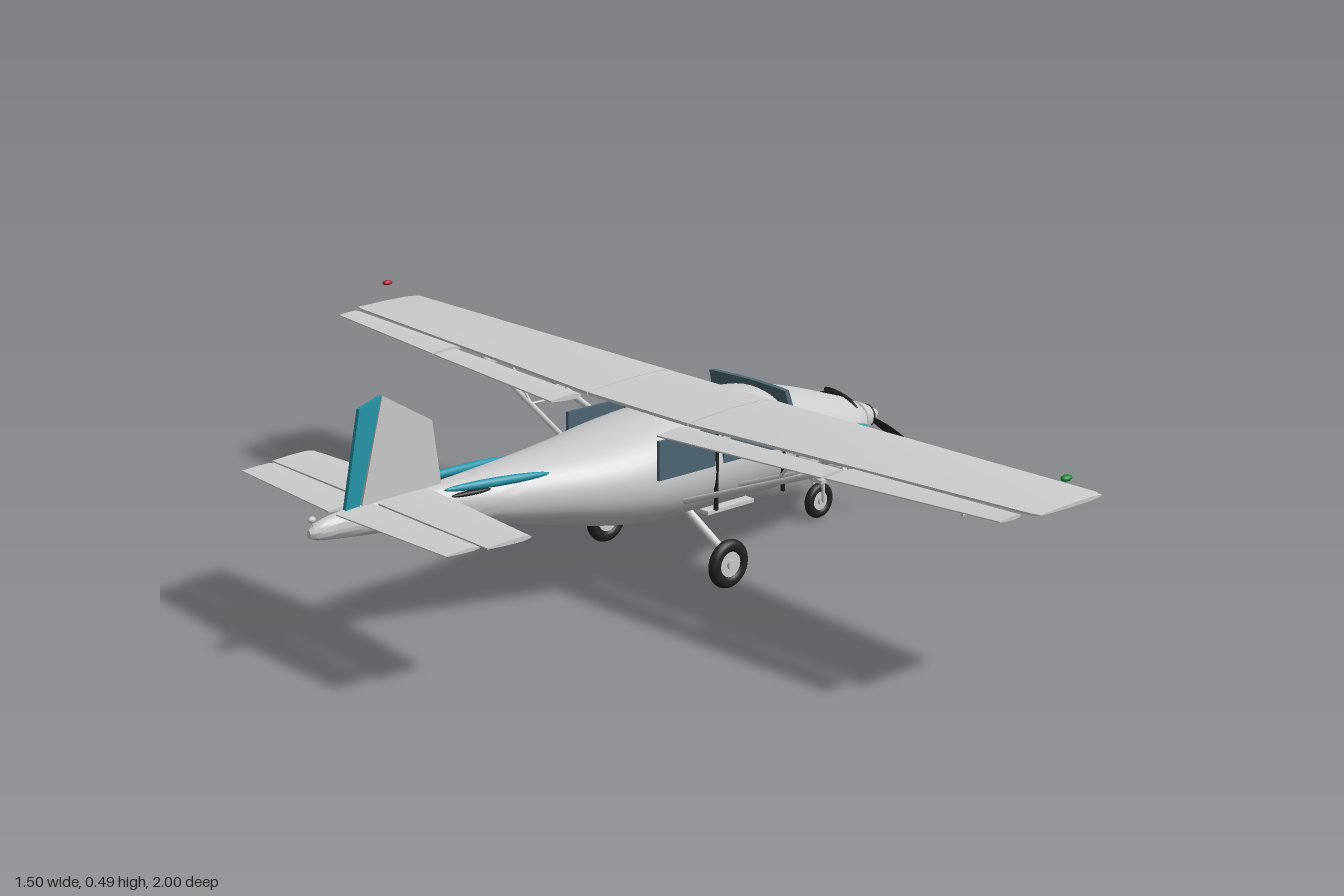
import * as THREE from 'three';
import { toCreasedNormals } from 'three/addons/utils/BufferGeometryUtils.js';

const mat = (color, side = THREE.FrontSide) => new THREE.MeshStandardMaterial({ color, side });
const GREY = mat(0xcccccc), TEAL = mat(0x2596aa), DARK = mat(0x222222);
const GLASS = mat(0x4d6672, THREE.DoubleSide), RED = mat(0xaa2233), GREEN = mat(0x22883a);
const V = (x, y, z) => new THREE.Vector3(x, y, z);

// Skin over closed rings of points, each counter-clockwise seen from the far end
function loft(rings, crease = 0.6) {
  const n = rings[0].length, pos = [], idx = [];
  rings.forEach(r => r.forEach(p => pos.push(p.x, p.y, p.z)));
  for (let i = 0; i < rings.length - 1; i++) {
    for (let j = 0; j < n; j++) {
      const a = i * n + j, b = i * n + (j + 1) % n;
      idx.push(a, b, a + n, b, b + n, a + n);
    }
  }
  [0, rings.length - 1].forEach((ri, end) => {
    const c = rings[ri].reduce((s, p) => s.add(p), V(0, 0, 0)).divideScalar(n);
    const ci = pos.length / 3;
    pos.push(c.x, c.y, c.z);
    for (let j = 0; j < n; j++) {
      const a = ri * n + j, b = ri * n + (j + 1) % n;
      if (end) idx.push(ci, a, b); else idx.push(ci, b, a);
    }
  });
  const g = new THREE.BufferGeometry();
  g.setAttribute('position', new THREE.Float32BufferAttribute(pos, 3));
  g.setIndex(idx);
  return toCreasedNormals(g, crease);
}

// Aerofoil panel between stations [z, trailing x, leading x, y, thickness]
function panel(stations) {
  const rings = stations.map(([z, xa, xb, y, t]) =>
    [[1, 0], [0.96, 0.28], [0.8, 0.5], [0.45, 0.45], [0, 0.12],
      [0, -0.12], [0.45, -0.4], [0.8, -0.45], [0.96, -0.25]]
      .map(([u, v]) => V(xa + (xb - xa) * u, y + v * t, z)));
  if (stations[0][0] > stations[stations.length - 1][0]) rings.reverse();
  return loft(rings);
}

export function createModel() {
  const root = new THREE.Group();
  root.name = 'lightAircraft';
  const add = (name, geo, m = GREY, p = [0, 0, 0]) => {
    const mesh = new THREE.Mesh(geo, m);
    mesh.name = name;
    mesh.position.set(...p);
    root.add(mesh);
    return mesh;
  };
  const box = (name, size, p, m) => add(name, new THREE.BoxGeometry(...size), m, p);
  const rod = (name, a, b, r, m = GREY) => {
    const d = b.clone().sub(a);
    const mesh = add(name, new THREE.CylinderGeometry(r, r, d.length(), 10), m);
    mesh.position.copy(a).add(b).multiplyScalar(0.5);
    mesh.quaternion.setFromUnitVectors(V(0, 1, 0), d.normalize());
    return mesh;
  };
  const blob = (name, p, scale, m) => {
    const mesh = add(name, new THREE.SphereGeometry(1, 20, 12), m, p);
    mesh.scale.set(...scale);
    return mesh;
  };

  // Fuselage stations: x, bottom, top, half width
  const st = [[-0.75, 0.26, 0.275, 0.006], [-0.735, 0.254, 0.285, 0.013], [-0.68, 0.246, 0.296, 0.018],
    [-0.48, 0.224, 0.303, 0.035], [-0.36, 0.202, 0.308, 0.062], [-0.24, 0.176, 0.315, 0.09],
    [-0.14, 0.152, 0.323, 0.115], [-0.05, 0.134, 0.335, 0.133], [0.05, 0.123, 0.346, 0.14],
    [0.2, 0.12, 0.352, 0.141], [0.33, 0.122, 0.347, 0.139], [0.45, 0.13, 0.325, 0.131],
    [0.54, 0.143, 0.299, 0.115], [0.6, 0.155, 0.279, 0.095], [0.645, 0.167, 0.263, 0.068], [0.675, 0.178, 0.245, 0.04]];
  const curve = new THREE.CatmullRomCurve3(st.map(s => V(s[0], s[1], s[2])), false, 'centripetal');
  const wide = new THREE.CatmullRomCurve3(st.map(s => V(s[0], s[3], 0)), false, 'centripetal');
  const rings = [];
  for (let i = 0; i <= 60; i++) {
    const p = curve.getPoint(i / 60), w = wide.getPoint(i / 60).y;
    const c = (p.y + p.z) / 2, h = (p.z - p.y) / 2, ring = [];
    for (let j = 0; j < 40; j++) {
      const t = j / 40 * Math.PI * 2, e = 2 / 2.15;
      const pw = v => Math.sign(v) * Math.abs(v) ** e;
      ring.push(V(p.x, c + h * pw(Math.cos(t)), w * pw(Math.sin(t))));
    }
    rings.push(ring);
  }
  add('fuselage', loft(rings));

  // Spinner and propeller
  const cone = [[0.001, 0.077], [0.009, 0.07], [0.024, 0.042], [0.037, 0.012], [0.038, 0], [0, 0]].reverse();
  add('spinner', new THREE.LatheGeometry(cone.map(p => new THREE.Vector2(...p)), 28), GREY, [0.673, 0.21, 0])
    .rotation.z = -Math.PI / 2;
  const prop = new THREE.Group();
  prop.name = 'propeller';
  prop.position.set(0.714, 0.21, 0);
  prop.rotation.x = 0.27;
  for (const s of [1, -1]) {
    const blade = new THREE.Mesh(new THREE.SphereGeometry(1, 14, 10), DARK);
    blade.name = 'propellerBlade';
    blade.scale.set(0.004, 0.013, 0.062);
    blade.position.z = s * 0.073;
    blade.rotation.z = s * 0.35;
    prop.add(blade);
  }
  const hub = new THREE.Mesh(new THREE.CylinderGeometry(0.025, 0.025, 0.008, 24), DARK);
  hub.name = 'propellerHub';
  hub.rotation.z = Math.PI / 2;
  prop.add(hub);
  root.add(prop);

  // Cowling seams above and below the nose
  for (const s of [1, -1]) {
    const arc = new THREE.EllipseCurve(0, 0, 0.084, 0.064, s * 0.7, s * (Math.PI - 0.7), s < 0);
    const pts = arc.getPoints(16).map(p => V(0.615, 0.216 + p.y, p.x));
    add('cowlSeam', new THREE.TubeGeometry(new THREE.CatmullRomCurve3(pts), 24, 0.003, 6), DARK);
  }

  // Tilted, slightly bowed windscreen
  const screen = new THREE.BoxGeometry(0.012, 0.09, 0.234, 1, 1, 16);
  const sp = screen.attributes.position;
  for (let i = 0; i < sp.count; i++) {
    const y = sp.getY(i), z = sp.getZ(i);
    sp.setX(i, sp.getX(i) - y * 0.3 - z * z * 0.7);
    sp.setZ(i, z * (1 - y * 0.9));
  }
  screen.computeVertexNormals();
  add('windscreen', screen, GLASS, [0.372, 0.312, 0]);

  // Centre wing section
  add('wingCentre', panel([[-0.15, 0.037, 0.28, 0.353, 0.026], [0.15, 0.037, 0.28, 0.353, 0.026]]));

  for (const s of [1, -1]) {
    // Wing, flap and aileron
    add('wing', panel([[s * 0.153, 0.037, 0.28, 0.353, 0.026], [s * 0.985, 0.057, 0.237, 0.376, 0.016],
      [s, 0.062, 0.23, 0.377, 0.008]]));
    add('flap', panel([[s * 0.16, -0.053, 0.028, 0.35, 0.012], [s * 0.578, -0.033, 0.03, 0.362, 0.01]]));
    add('aileron', panel([[s * 0.588, -0.033, 0.045, 0.363, 0.01], [s * 0.972, -0.01, 0.045, 0.374, 0.008]]));
    for (const z of [0.25, 0.48, 0.68, 0.88]) {
      box('hinge', [0.06, 0.006, 0.006], [0.03, 0.342 + z * 0.024, s * z], GREY);
    }
    blob('wingTipLight', [0.14, 0.425, s * 0.99], [0.013, 0.006, 0.008], s > 0 ? GREEN : RED);

    // Wing struts
    rod('frontStrut', V(0.2, 0.19, s * 0.135), V(0.155, 0.35, s * 0.54), 0.007);
    rod('rearStrut', V(0.045, 0.19, s * 0.135), V(0.07, 0.35, s * 0.54), 0.006);
    rod('juryStrut', V(0.172, 0.284, s * 0.37), V(0.165, 0.353, s * 0.43), 0.003);
    rod('juryStrut', V(0.062, 0.284, s * 0.37), V(0.062, 0.353, s * 0.43), 0.003);
    rod('strutBrace', V(0.174, 0.281, s * 0.365), V(0.06, 0.281, s * 0.365), 0.003);

    // Cabin side: windows, door edges, handle and step
    box('rearWindow', [0.15, 0.08, 0.008], [0.046, 0.289, s * 0.138], GLASS);
    box('frontWindow', [0.166, 0.08, 0.008], [0.228, 0.29, s * 0.138], GLASS);
    for (const x of [0.127, 0.316]) box('doorEdge', [0.005, 0.185, 0.008], [x, 0.247, s * 0.139], DARK);
    box('doorHandle', [0.03, 0.005, 0.008], [0.175, 0.268, s * 0.143], DARK);
    box('step', [0.13, 0.008, 0.035], [0.19, 0.142, s * 0.1], GREY);

    // Trim blades along the tail and nose
    const tail = blob('tailTrim', [-0.36, 0.298, s * 0.054], [0.118, 0.009, 0.009], TEAL);
    tail.rotation.set(0, -s * 0.1, -0.04);
    blob('tailVent', [-0.42, 0.288, s * 0.05], [0.043, 0.005, 0.007], DARK).rotation.y = -s * 0.12;
    blob('noseTrim', [0.538, 0.24, s * 0.115], [0.058, 0.009, 0.008], TEAL).rotation.z = -0.1;
    blob('noseVent', [0.548, 0.217, s * 0.11], [0.029, 0.005, 0.009], DARK).rotation.z = -0.08;

    // Tailplane and elevator
    add('tailplane', panel([[s * 0.008, -0.605, -0.481, 0.296, 0.014], [s * 0.337, -0.607, -0.508, 0.297, 0.01]]));
    add('elevator', panel([[s * 0.012, -0.698, -0.61, 0.296, 0.01], [s * 0.322, -0.685, -0.61, 0.297, 0.007]]));
  }

  // Fin and rudder
  const plate = (name, pts, t, m) => {
    const shape = new THREE.Shape(pts.map(p => new THREE.Vector2(...p)));
    add(name, new THREE.ExtrudeGeometry(shape, { depth: t, bevelEnabled: false }), m, [0, 0, -t / 2]);
  };
  plate('fin', [[-0.64, 0.285], [-0.455, 0.285], [-0.458, 0.315], [-0.474, 0.43], [-0.584, 0.497]], 0.012, GREY);
  plate('rudder', [[-0.672, 0.295], [-0.641, 0.295], [-0.585, 0.496], [-0.634, 0.48]], 0.009, TEAL);
  blob('tailLight', [-0.742, 0.294, 0], [0.008, 0.006, 0.006], GREY);
  rod('tailLightPost', V(-0.74, 0.28, 0), V(-0.742, 0.294, 0), 0.002);

  // Landing gear
  const wheel = (name, x, y, z, r, w) => {
    const g = new THREE.Group();
    g.name = name;
    g.position.set(x, y, z);
    const tyre = new THREE.Mesh(new THREE.TorusGeometry(r * 0.73, r * 0.27, 14, 36), DARK);
    tyre.name = 'tyre';
    tyre.scale.z = w / (r * 0.54);
    const rim = new THREE.Mesh(new THREE.CylinderGeometry(r * 0.52, r * 0.52, w * 0.6, 28), GREY);
    rim.name = 'rim';
    const cap = new THREE.Mesh(new THREE.CylinderGeometry(r * 0.2, r * 0.2, w * 1.1, 16), GREY);
    cap.name = 'hubCap';
    rim.rotation.x = cap.rotation.x = Math.PI / 2;
    g.add(tyre, rim, cap);
    root.add(g);
  };
  for (const s of [1, -1]) {
    wheel('mainWheel', 0.117, 0.056, s * 0.187, 0.051, 0.024);
    rod('mainLeg', V(0.09, 0.16, s * 0.08), V(0.112, 0.088, s * 0.165), 0.009);
    rod('mainAxleLeg', V(0.112, 0.09, s * 0.165), V(0.117, 0.056, s * 0.172), 0.008);
    rod('noseFork', V(0.566, 0.09, s * 0.015), V(0.57, 0.044, s * 0.015), 0.004);
  }
  wheel('noseWheel', 0.57, 0.044, 0, 0.04, 0.02);
  rod('noseLeg', V(0.558, 0.17, 0), V(0.566, 0.09, 0), 0.009);
  box('noseForkTop', [0.016, 0.008, 0.036], [0.566, 0.091, 0], GREY);

  return root;
}
